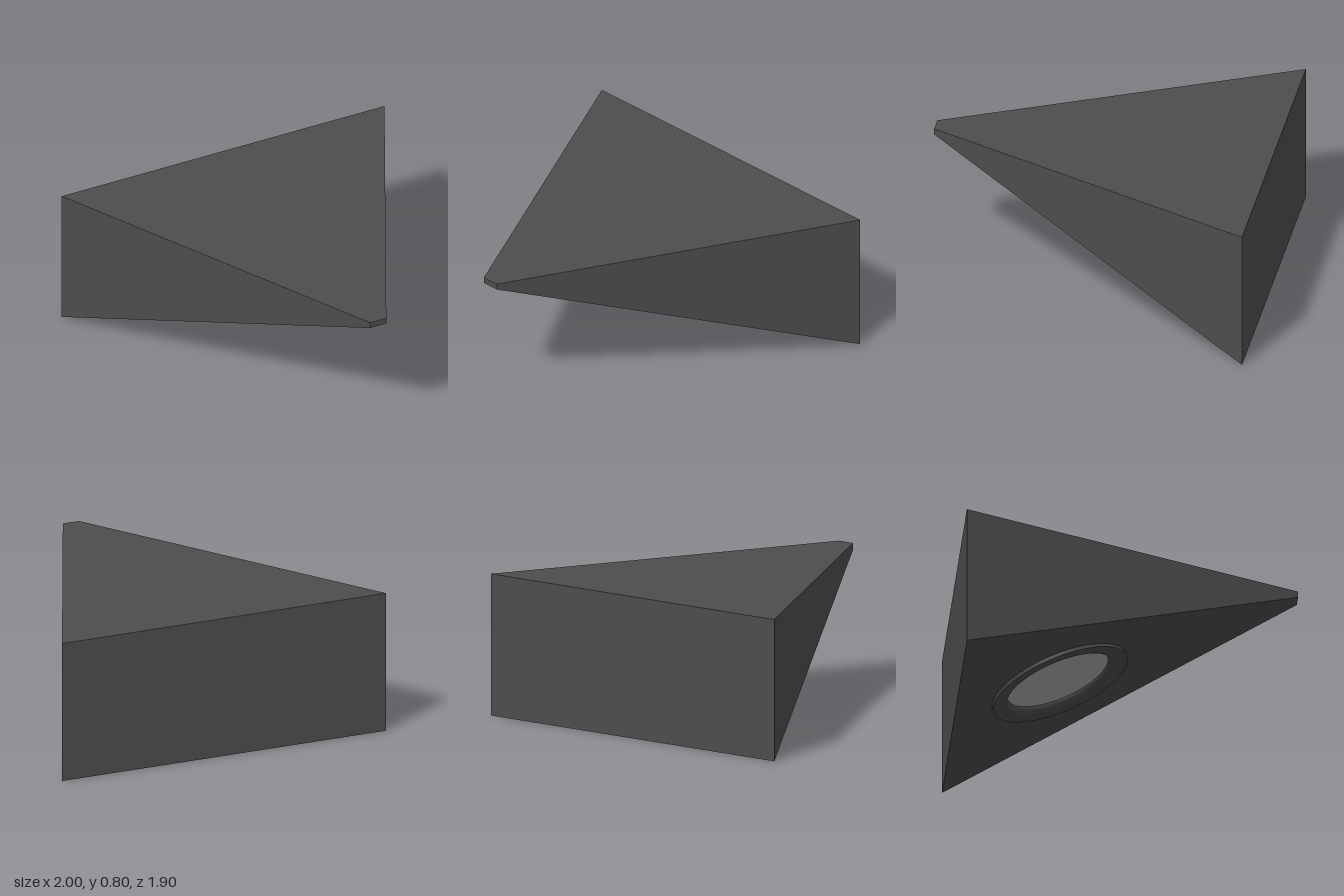
import * as THREE from 'three';
import { toCreasedNormals } from 'three/addons/utils/BufferGeometryUtils.js';

const TOP = 0.8, TIP_Y = 0.765, BACK = -0.95, FRONT = 0.95, HALF_BACK = 1, HALF_TIP = 0.05;
const SLOPE = Math.atan2(TIP_Y, FRONT - BACK);
const LAMP_Z = -0.37, LAMP_Y = (LAMP_Z - BACK) * Math.tan(SLOPE);
const RING_R = 0.4, LENS_R = 0.3, ROUND = 0.04, PROUD = 0.02;

// Flat-sided surface from quads whose corners run counter-clockwise seen from outside
function quads(list) {
  const pos = [];
  for (const [a, b, c, d] of list) pos.push(...a, ...b, ...c, ...a, ...c, ...d);
  const g = new THREE.BufferGeometry();
  g.setAttribute('position', new THREE.Float32BufferAttribute(pos, 3));
  g.computeVertexNormals();
  return g;
}

function add(parent, name, geometry, material) {
  const mesh = new THREE.Mesh(geometry, material);
  mesh.name = name;
  parent.add(mesh);
  return mesh;
}

export function createModel() {
  const model = new THREE.Group();
  model.name = 'wedgeDownlight';
  const metal = new THREE.MeshStandardMaterial({ color: 0x4d4d4d });
  const glass = new THREE.MeshStandardMaterial({ color: 0xaaaaaa });

  // Housing: top, back, sides and the narrow front tip
  const corner = (side, top, front) => front
    ? [side * HALF_TIP, top ? TOP : TIP_Y, FRONT]
    : [side * HALF_BACK, top ? TOP : 0, BACK];
  const [lbf, ltf, lbb, ltb] = [[0, 1], [1, 1], [0, 0], [1, 0]].map(([t, f]) => corner(1, t, f));
  const [rbf, rtf, rbb, rtb] = [[0, 1], [1, 1], [0, 0], [1, 0]].map(([t, f]) => corner(-1, t, f));
  add(model, 'housing', quads([
    [rtf, ltf, ltb, rtb],
    [lbb, rbb, rtb, ltb],
    [lbf, lbb, ltb, ltf],
    [rbb, rbf, rtf, rtb],
    [rbf, lbf, ltf, rtf],
  ]), metal);

  // Underside frame: local +y points out of the sloping face
  const underside = new THREE.Group();
  underside.name = 'underside';
  underside.position.set(0, LAMP_Y, LAMP_Z);
  underside.rotation.x = Math.PI - SLOPE;
  model.add(underside);

  // Sloping panel with the lamp opening
  const toBack = (LAMP_Z - BACK) / Math.cos(SLOPE);
  const toFront = (FRONT - LAMP_Z) / Math.cos(SLOPE);
  const outline = new THREE.Shape([
    new THREE.Vector2(-HALF_BACK, -toBack), new THREE.Vector2(HALF_BACK, -toBack),
    new THREE.Vector2(HALF_TIP, toFront), new THREE.Vector2(-HALF_TIP, toFront),
  ]);
  outline.holes.push(new THREE.Path().absarc(0, 0, RING_R - 0.02, 0, Math.PI * 2, true));
  add(underside, 'slopingPanel', new THREE.ShapeGeometry(outline, 48).rotateX(-Math.PI / 2), metal);

  // Trim ring with a rounded inner lip
  const profile = [new THREE.Vector2(RING_R, -0.005), new THREE.Vector2(RING_R, PROUD)];
  for (let i = 0; i <= 8; i++) {
    const t = (i / 8) * Math.PI / 2;
    profile.push(new THREE.Vector2(LENS_R + ROUND * (1 - Math.sin(t)), PROUD - ROUND * (1 - Math.cos(t))));
  }
  add(underside, 'trimRing', toCreasedNormals(new THREE.LatheGeometry(profile, 64), 0.6), metal);

  // Recessed lens
  const lens = add(underside, 'lens', new THREE.CircleGeometry(LENS_R, 64).rotateX(-Math.PI / 2), glass);
  lens.position.y = PROUD - ROUND;

  return model;
}
